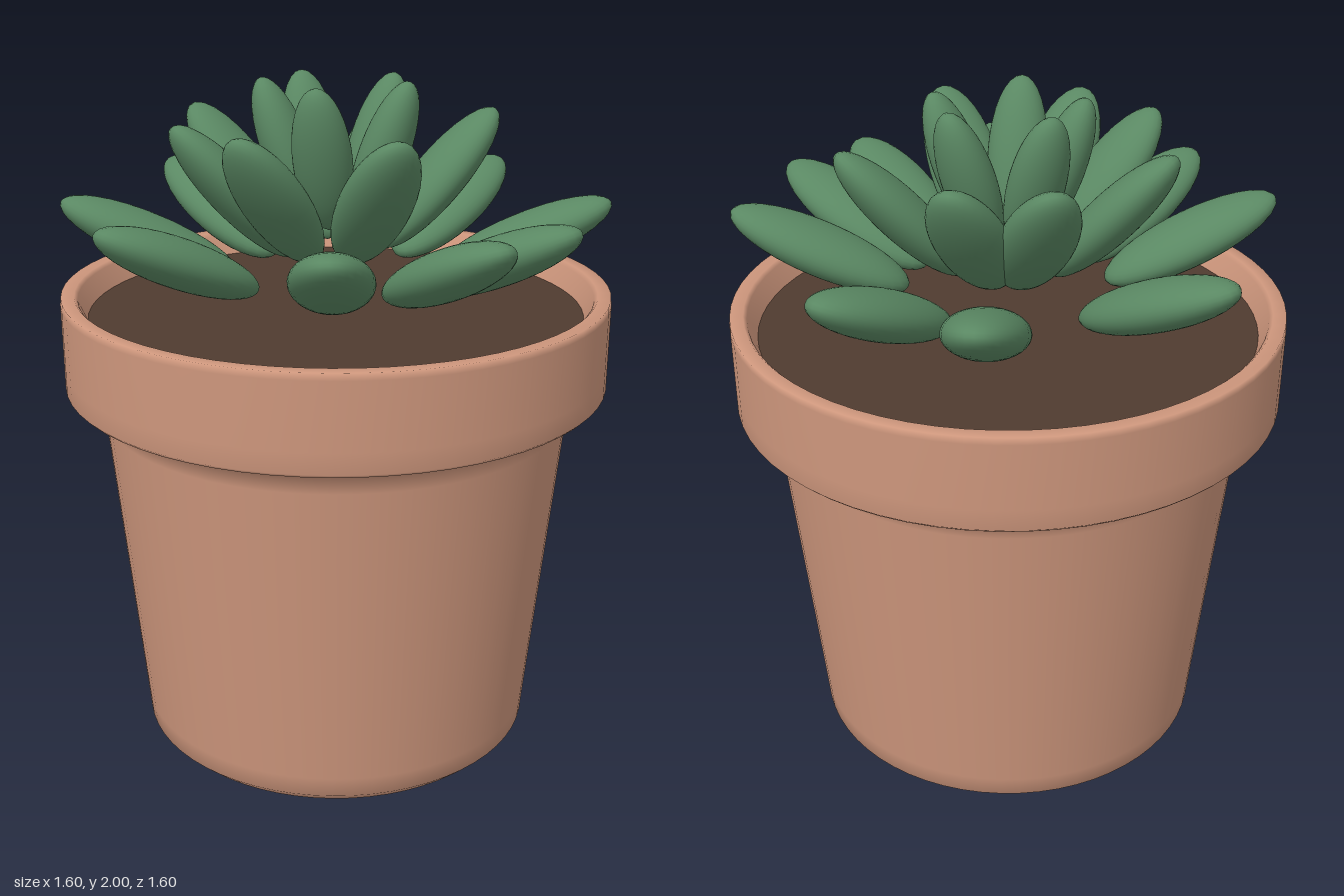
import * as THREE from 'three';

const terracotta = new THREE.MeshStandardMaterial({ color: 0xcd967c });
terracotta.name = 'terracotta';
const soilBrown = new THREE.MeshStandardMaterial({ color: 0x503b30 });
soilBrown.name = 'soil brown';
const leafGreen = new THREE.MeshStandardMaterial({ color: 0x5a8863 });
leafGreen.name = 'leaf green';

// Each ring of leaves: angles in degrees from +x towards +z, centre radius and height,
// upward tilt, and half length, thickness and width
const rings = [
  { name: 'outerLeaf', angles: [-100, -47, -15, 38.5, 69, 90, 124, 175, 207.5],
    radius: 0.535, height: 1.55, tilt: 24.5, size: [0.273, 0.07, 0.115] },
  { name: 'middleLeaf', angles: [-119, -67, -35, 17, 103, 155, 189],
    radius: 0.31, height: 1.7, tilt: 48, size: [0.26, 0.07, 0.11] },
  { name: 'innerLeaf', angles: [-141, -86, -4, 50, 138],
    radius: 0.14, height: 1.79, tilt: 70, size: [0.22, 0.07, 0.085] },
];

function createPot() {
  // Tapered body, stepped rim and sloping inner lip
  const profile = [
    [0, 0], [0.52, 0], [0.56, 0.005], [0.597, 0.04], [0.602, 0.1],
    [0.69, 1.03], [0.695, 1.09], [0.79, 1.12], [0.8, 1.13], [0.8, 1.19],
    [0.8, 1.38], [0.798, 1.4], [0.76, 1.4], [0.75, 1.39], [0.72, 1.32],
  ].map(([r, y]) => new THREE.Vector2(r, y));
  const pot = new THREE.Mesh(new THREE.LatheGeometry(profile, 64), terracotta);
  pot.name = 'pot';
  return pot;
}

function createSoil() {
  const soil = new THREE.Mesh(new THREE.CircleGeometry(0.727, 64), soilBrown);
  soil.name = 'soil';
  soil.rotation.x = -Math.PI / 2;
  soil.position.y = 1.33;
  return soil;
}

function createRing({ name, angles, radius, height, tilt, size }, geometry) {
  const ring = new THREE.Group();
  ring.name = name + 'Ring';
  for (const angle of angles) {
    const leaf = new THREE.Mesh(geometry, leafGreen);
    leaf.name = name;
    leaf.scale.set(...size);
    leaf.position.set(radius, height, 0);
    leaf.rotation.z = THREE.MathUtils.degToRad(tilt);
    const pivot = new THREE.Group();
    pivot.name = name + 'Pivot';
    pivot.rotation.y = -THREE.MathUtils.degToRad(angle);
    pivot.add(leaf);
    ring.add(pivot);
  }
  return ring;
}

export function createModel() {
  const model = new THREE.Group();
  model.name = 'pottedSucculent';
  model.add(createPot(), createSoil());

  // Rosette of plump leaves, steeper towards the centre
  const leafShape = new THREE.SphereGeometry(1, 32, 20);
  for (const ring of rings) model.add(createRing(ring, leafShape));
  return model;
}
